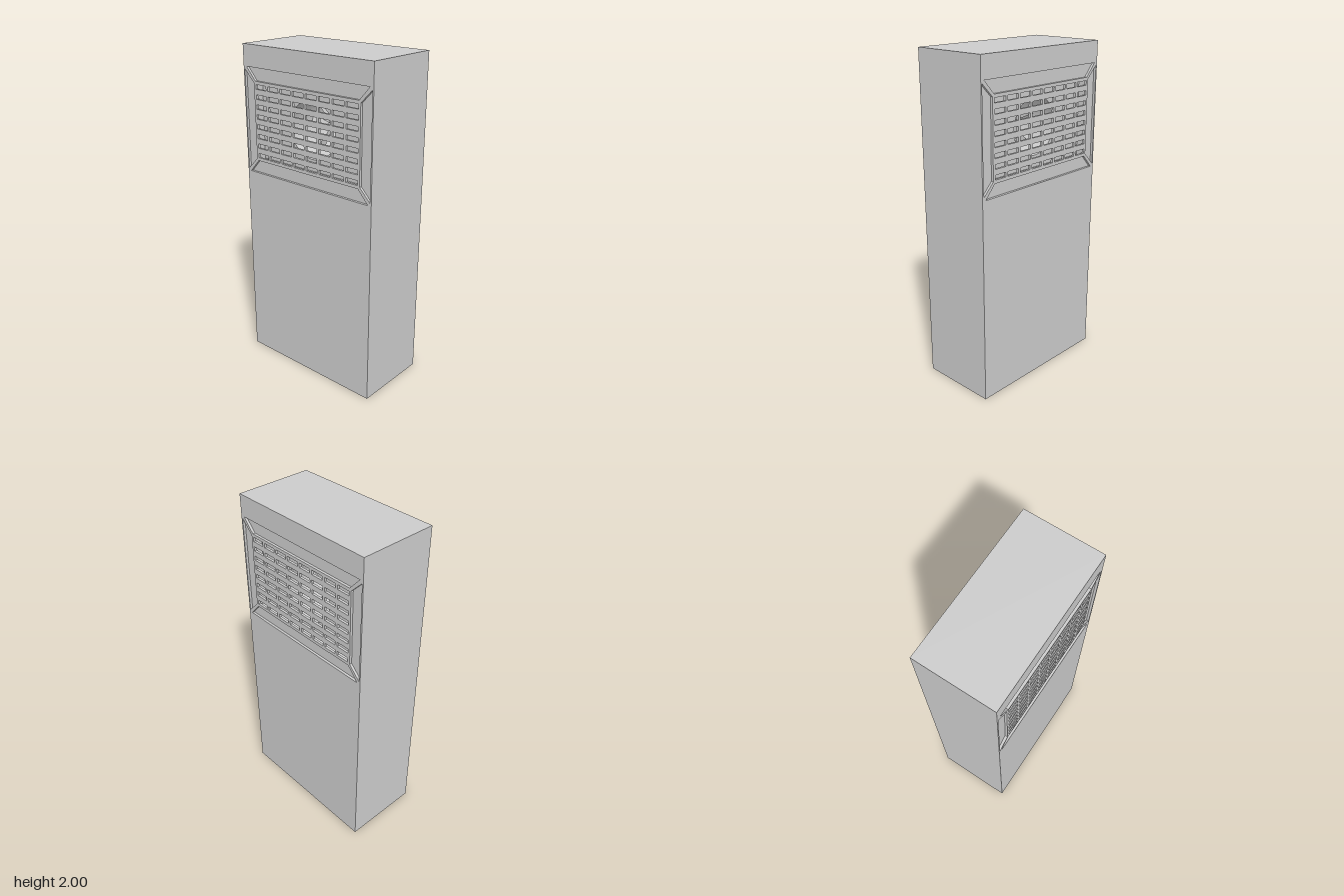
import * as THREE from 'three';

const W = 0.48, H = 2, D = 0.96;      // cabinet size
const VY = 1.553;                     // height of the vent centre
const GU = 0.398, GV = 0.24;          // grille half width and half height
const SINK = 0.015, CAVITY = 0.065;   // depth of the frame panels and of the vent cavity
const FAN_R = 0.17;

const mat = new THREE.MeshStandardMaterial({ color: 0xcccccc, side: THREE.DoubleSide });

function add(group, name, geometry) {
  const mesh = new THREE.Mesh(geometry, mat);
  mesh.name = name;
  group.add(mesh);
  return mesh;
}

const rect = (u, v, hu, hv) => [[u - hu, v - hv], [u + hu, v - hv], [u + hu, v + hv], [u - hu, v + hv]];
const toVectors = (pts) => pts.map(([u, v]) => new THREE.Vector2(u, v));
const shapeOf = (pts) => new THREE.Shape(toVectors(pts));
const holeOf = (pts) => new THREE.Path(toVectors(pts));

// Walls along a closed outline, facing inward, from depth z0 up to z1
function walls(pts, z0, z1) {
  const pos = [];
  pts.forEach(([au, av], i) => {
    const [bu, bv] = pts[(i + 1) % pts.length];
    pos.push(au, av, z0, bu, bv, z1, bu, bv, z0, au, av, z0, au, av, z1, bu, bv, z1);
  });
  const g = new THREE.BufferGeometry();
  g.setAttribute('position', new THREE.Float32BufferAttribute(pos, 3));
  g.computeVertexNormals();
  return g;
}

// One broad side with its sunk frame, slotted grille and cavity; built facing +z
function buildSide() {
  const side = new THREE.Group();
  const z = W / 2;

  // Four mitred frame panels around the grille
  const top = [[-0.386, VY + GV], [0.386, VY + GV], [0.456, VY + 0.318], [-0.456, VY + 0.318]];
  const flank = [[GU, VY - 0.227], [0.471, VY - 0.302], [0.471, VY + 0.302], [GU, VY + 0.227]];
  const bottom = top.map(([u, v]) => [u, 2 * VY - v]).reverse();
  const flank2 = flank.map(([u, v]) => [-u, v]).reverse();
  const panels = [top, flank, bottom, flank2];

  // Slots of the grille
  const slots = [];
  for (let r = 0; r < 8; r++) {
    for (let c = 0; c < 8; c++) {
      slots.push(rect((c - 3.5) * 0.0977, VY + (r - 3.5) * 0.0592, 0.041, 0.0135));
    }
  }

  // Flat outer face
  const face = shapeOf(rect(0, H / 2, D / 2, H / 2));
  face.holes = [...panels, ...slots].map(holeOf);
  add(side, 'sidePanel', new THREE.ShapeGeometry(face)).position.z = z;

  panels.forEach((p) => {
    add(side, 'framePanel', new THREE.ShapeGeometry(shapeOf(p))).position.z = z - SINK;
    add(side, 'framePanelEdge', walls(p, z - SINK, z));
  });
  slots.forEach((s) => add(side, 'grilleSlotEdge', walls(s, z - SINK, z)));

  // Cavity behind the grille, with the round fan opening in its back wall
  const box = rect(0, VY, GU - 0.003, GV);
  add(side, 'cavityWalls', walls(box, z - CAVITY, z - SINK));
  const back = shapeOf(box);
  back.holes.push(new THREE.Path().absarc(0, VY, FAN_R, 0, Math.PI * 2, true));
  add(side, 'cavityBack', new THREE.ShapeGeometry(back, 24)).position.z = z - CAVITY;
  return side;
}

// Fan: hub and pitched wedge blades on an axis along x
function buildFan() {
  const fan = new THREE.Group();
  fan.name = 'fan';
  add(fan, 'fanHub', new THREE.CylinderGeometry(0.02, 0.02, 0.05, 16).rotateX(Math.PI / 2));
  const blade = new THREE.ShapeGeometry(shapeOf([[0.01, -0.008], [0.165, -0.035], [0.165, 0.035], [0.01, 0.008]]));
  blade.rotateX(0.5);
  for (let i = 0; i < 6; i++) {
    add(fan, 'fanBlade', blade).rotation.z = (i * Math.PI) / 3;
  }
  fan.position.y = VY;
  fan.rotation.y = Math.PI / 2;
  return fan;
}

export function createModel() {
  const model = new THREE.Group();
  model.name = 'ventedCabinet';

  // Front, back, top and bottom: a box without its two x faces
  const shell = new THREE.BoxGeometry(W, H, D).translate(0, H / 2, 0);
  shell.setIndex(Array.from(shell.index.array).slice(12));
  shell.clearGroups();
  add(model, 'cabinetShell', shell);

  [1, -1].forEach((s) => {
    const side = buildSide();
    side.name = s > 0 ? 'leftSide' : 'rightSide';
    side.rotation.y = (s * Math.PI) / 2;
    model.add(side);
  });

  // Round duct joining both cavities
  const duct = new THREE.CylinderGeometry(FAN_R, FAN_R, W - 2 * CAVITY, 48, 1, true).rotateZ(Math.PI / 2);
  add(model, 'fanDuct', duct).position.y = VY;
  model.add(buildFan());
  return model;
}
